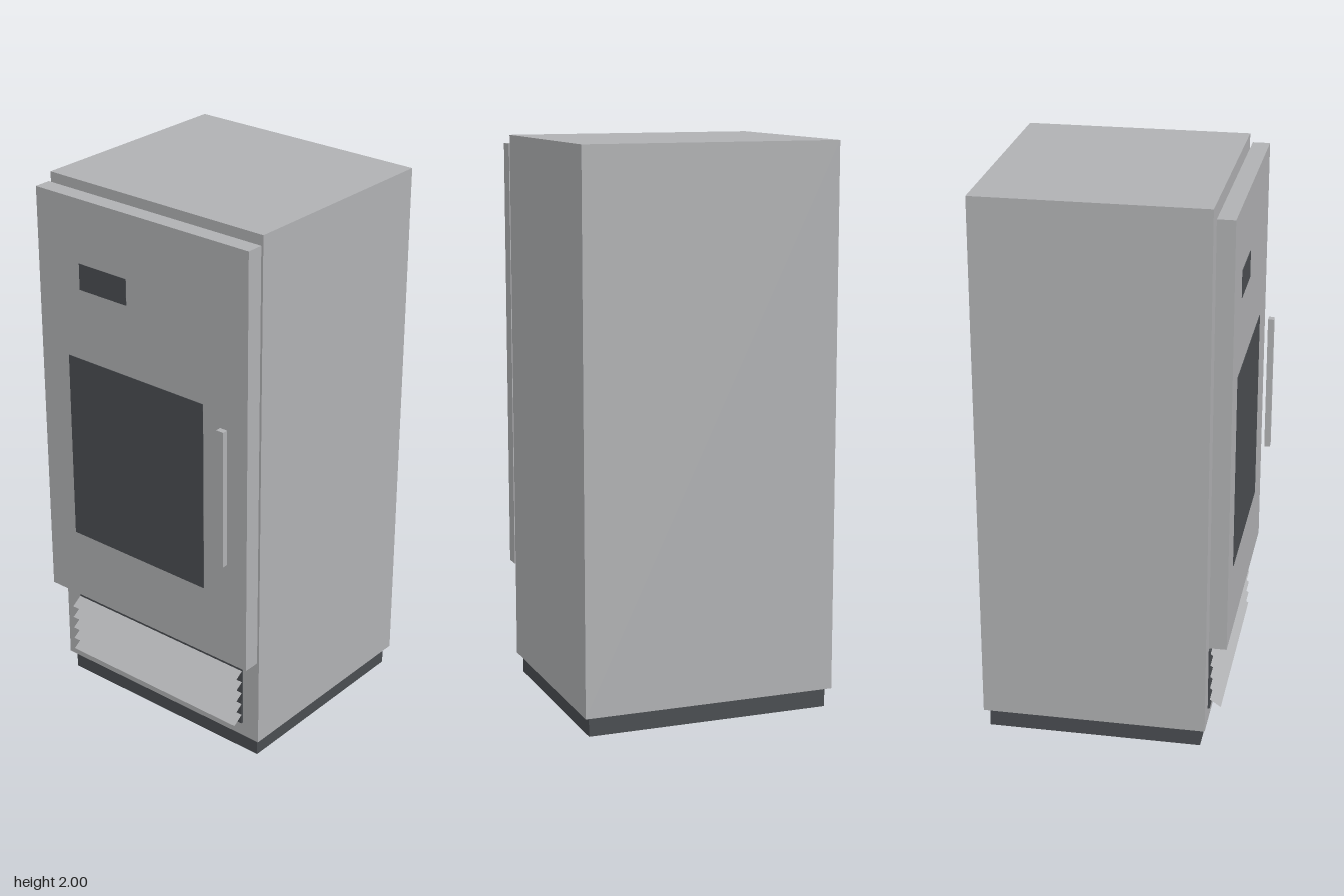
import * as THREE from 'three';

export function createModel() {
  const model = new THREE.Group();
  const steel = new THREE.MeshStandardMaterial({ color: 0xb0b1b3, side: THREE.DoubleSide });
  steel.name = 'brushed steel grey';
  const charcoal = new THREE.MeshStandardMaterial({ color: 0x4a4d51 });
  charcoal.name = 'charcoal';

  // Box given by its limits on each axis
  function block(name, material, [x0, x1], [y0, y1], [z0, z1], parent = model) {
    const mesh = new THREE.Mesh(new THREE.BoxGeometry(x1 - x0, y1 - y0, z1 - z0), material);
    mesh.position.set((x0 + x1) / 2, (y0 + y1) / 2, (z0 + z1) / 2);
    mesh.name = name;
    parent.add(mesh);
    return mesh;
  }

  // Cabinet
  block('cabinet', steel, [-0.46, 0.46], [0.07, 2], [-0.461, 0.346]);

  // Door slab with window and control display
  block('door', steel, [-0.46, 0.46], [0.412, 1.968], [0.356, 0.418]);
  block('window', charcoal, [-0.334, 0.272], [0.675, 1.382], [0.417, 0.42]);
  block('display', charcoal, [-0.271, -0.06], [1.642, 1.737], [0.417, 0.42]);
  block('handle', steel, [0.363, 0.393], [0.824, 1.333], [0.44, 0.461]);

  // Vent grille: dark backing with sloping slats
  const grille = new THREE.Group();
  grille.name = 'ventGrille';
  model.add(grille);
  block('grilleBacking', charcoal, [-0.39, 0.39], [0.124, 0.36], [0.345, 0.353], grille);
  const drop = 0.027, reach = 0.04;
  for (let i = 0; i < 5; i++) {
    const slat = new THREE.Mesh(new THREE.PlaneGeometry(0.78, Math.hypot(drop, reach)), steel);
    slat.rotation.x = -Math.atan2(reach, drop);
    slat.position.set(0, 0.334 - i * 0.0465, 0.353 + reach / 2);
    slat.name = 'slat';
    grille.add(slat);
  }

  // Hollow plinth: four thin walls under a dark plate
  const plinth = new THREE.Group();
  plinth.name = 'plinth';
  model.add(plinth);
  const t = 0.004, w = 0.442, back = -0.442, front = 0.328;
  block('plinthFront', charcoal, [-w, w], [0, 0.07], [front - t, front], plinth);
  block('plinthBack', charcoal, [-w, w], [0, 0.07], [back, back + t], plinth);
  for (const s of [-1, 1]) {
    const x = s * (w - t / 2);
    block('plinthSide', charcoal, [x - t / 2, x + t / 2], [0, 0.07], [back + t, front - t], plinth);
  }
  block('plinthTop', charcoal, [-w + t, w - t], [0.066, 0.07], [back + t, front - t], plinth);

  return model;
}
